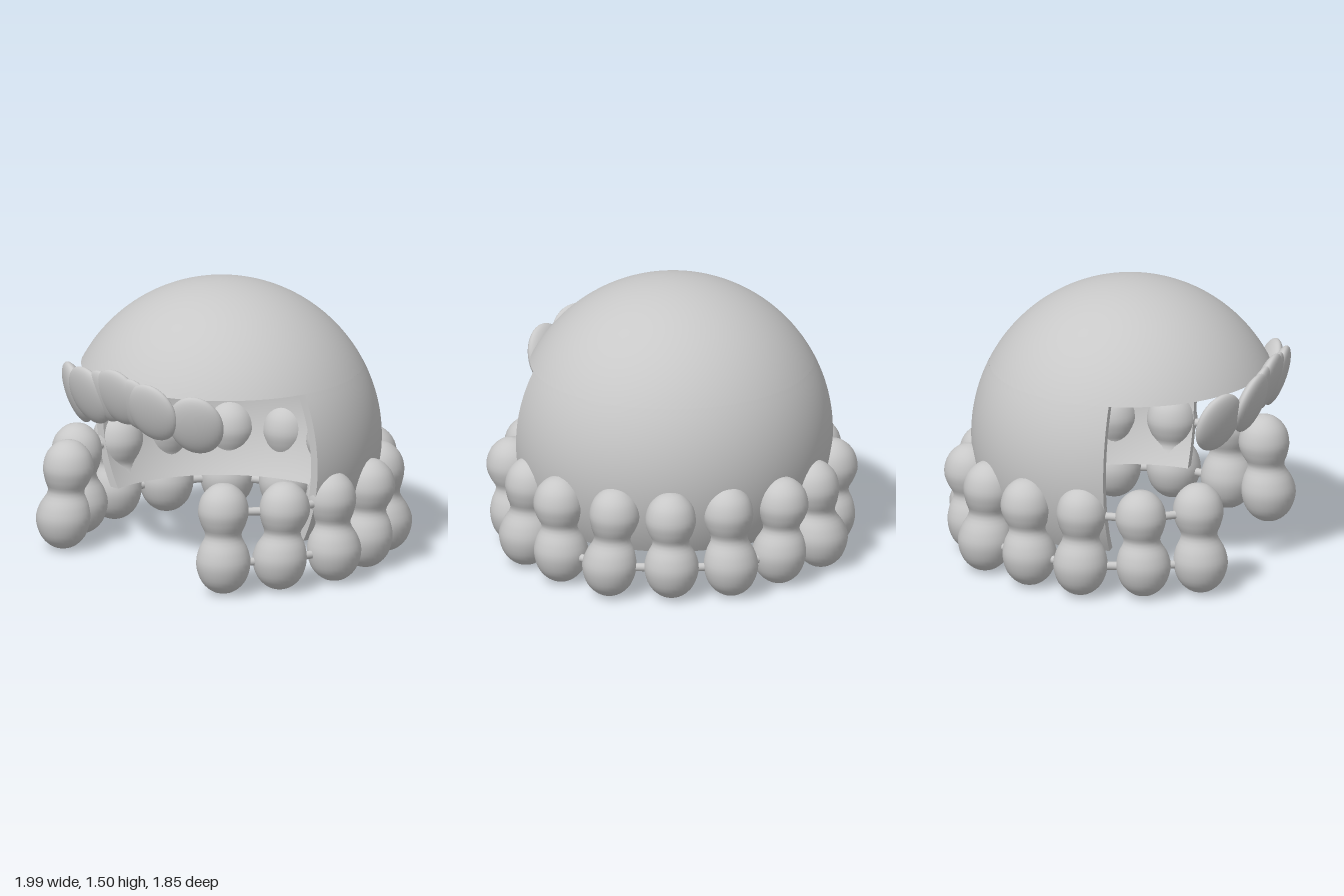
import * as THREE from 'three';
import { mergeVertices } from 'three/addons/utils/BufferGeometryUtils.js';

const grey = new THREE.MeshStandardMaterial({ color: 0xc8c8c8, side: THREE.DoubleSide });
grey.name = 'light grey';

// Dome ellipsoid, and the levels where it is cut
const CY = 0.65, CZ = 0.085, THICK = 0.05;
const BROW = 1.05, HEM = 0.23, CUT_Z = 0.2;

function add(parent, name, geometry) {
  const mesh = new THREE.Mesh(geometry, grey);
  mesh.name = name;
  parent.add(mesh);
  return mesh;
}

// Smooth surface patch from a rule f(u, v) -> [x, y, z]
function patch(f, nu, nv) {
  const pos = [], index = [];
  for (let j = 0; j <= nv; j++) {
    for (let i = 0; i <= nu; i++) pos.push(...f(i / nu, j / nv));
  }
  for (let j = 0; j < nv; j++) {
    for (let i = 0; i < nu; i++) {
      const a = j * (nu + 1) + i, b = a + 1, c = a + nu + 1, d = c + 1;
      index.push(a, b, d, a, d, c);
    }
  }
  let g = new THREE.BufferGeometry();
  g.setAttribute('position', new THREE.Float32BufferAttribute(pos, 3));
  g.setIndex(index);
  g = mergeVertices(g, 1e-5);
  g.computeVertexNormals();
  return g;
}

// Half width of the dome at height y, as a fraction (inset 0 = outside)
const girth = (inset, y) => Math.sqrt(Math.max(0, 1 - ((y - CY) / (0.86 - inset)) ** 2));

// Point on the dome; angle 0 is the middle of the back
function domePoint(inset, angle, y) {
  const t = girth(inset, y);
  return [(0.865 - inset) * t * Math.sin(angle), y, CZ - (0.85 - inset) * t * Math.cos(angle)];
}

// Angle where the lower wall meets the face opening
const openAngle = (inset, y) => Math.acos(-(CUT_Z - CZ) / ((0.85 - inset) * girth(inset, y)));
const wallPoint = (inset, u, y) => domePoint(inset, (u * 2 - 1) * openAngle(inset, y), y);
const mix = THREE.MathUtils.lerp;

function buildDome() {
  const dome = new THREE.Group();
  dome.name = 'domeShell';
  const ring = (u) => (u * 2 - 1) * Math.PI;
  // height of the cap at v, spaced evenly along the curve
  const capY = (inset, v) => {
    const r = 0.86 - inset;
    return CY + r * Math.cos(v * Math.acos((BROW - CY) / r));
  };
  add(dome, 'crownOutside', patch((u, v) => domePoint(0, ring(u), capY(0, v)), 96, 32));
  add(dome, 'crownInside', patch((u, v) => domePoint(THICK, ring(u), capY(THICK, 1 - v)), 96, 32));
  add(dome, 'crownRim', patch((u, v) => domePoint(THICK * (1 - v), ring(u), BROW), 96, 1));
  add(dome, 'wallOutside', patch((u, v) => wallPoint(0, u, mix(BROW, HEM, v)), 80, 28));
  add(dome, 'wallInside', patch((u, v) => wallPoint(THICK, u, mix(HEM, BROW, v)), 80, 28));
  add(dome, 'wallHem', patch((u, v) => wallPoint(THICK * (1 - v), u, HEM), 80, 1));
  for (const side of [0, 1]) {
    add(dome, 'openingEdge', patch((u, v) =>
      wallPoint(THICK * (side ? 1 - u : u), side, mix(HEM, BROW, v)), 1, 28));
  }
  return dome;
}

// Two stacked balls with a soft waist; the upper ball leans to its own centre
function curlGeometry(low, high) {
  const profile = new THREE.SplineCurve([
    [0, 0.005], [0.065, 0.025], [0.12, 0.08], [0.147, 0.17], [0.132, 0.25], [0.098, 0.325],
    [0.122, 0.39], [0.137, 0.46], [0.115, 0.54], [0.06, 0.595], [0, 0.61],
  ].map(([x, y]) => new THREE.Vector2(x, y))).getPoints(36);
  profile.forEach((p) => { p.x = Math.max(0, p.x); });
  const g = new THREE.LatheGeometry(profile, 28);
  const p = g.attributes.position;
  for (let i = 0; i < p.count; i++) {
    const s = THREE.MathUtils.smoothstep(p.getY(i), 0.17, 0.46);
    p.setX(i, p.getX(i) + mix(low[0], high[0], s));
    p.setZ(i, p.getZ(i) + mix(low[1], high[1], s));
  }
  return g;
}

// Thin hourglass link between two points
function addLink(parent, a, b, y) {
  const from = new THREE.Vector3(a[0], y, a[1]), to = new THREE.Vector3(b[0], y, b[1]);
  const half = from.distanceTo(to) / 2;
  const profile = [];
  for (let i = -6; i <= 6; i++) {
    const t = i / 6;
    profile.push(new THREE.Vector2(0.022 + 0.08 * t ** 4, t * half * 0.7));
  }
  const link = add(parent, 'curlLink', new THREE.LatheGeometry(profile, 14));
  link.position.copy(from).add(to).multiplyScalar(0.5);
  link.quaternion.setFromUnitVectors(new THREE.Vector3(0, 1, 0), to.sub(from).normalize());
}

function buildCurls() {
  const curls = new THREE.Group();
  curls.name = 'curls';
  // [x, z] of the lower and upper balls, from the back round to the front
  const spots = [
    [[0, -0.775], [0, -0.73]],
    [[0.31, -0.69], [0.325, -0.715]],
    [[0.61, -0.54], [0.575, -0.53]],
    [[0.77, -0.24], [0.79, -0.255]],
    [[0.85, 0.07], [0.825, 0.07]],
    [[0.77, 0.4], [0.805, 0.395]],
    [[0.62, 0.675], [0.6, 0.655]],
  ];
  for (const m of [1, -1]) {
    const flip = ([x, z]) => [x * m, z];
    spots.forEach(([low, high], i) => {
      if (i > 0 || m > 0) add(curls, 'curl', curlGeometry(flip(low), flip(high)));
      if (i > 0) addLink(curls, flip(spots[i - 1][0]), flip(low), 0.17);
      if (i > 4) addLink(curls, flip(spots[i - 1][1]), flip(high), 0.45);
    });
  }
  return curls;
}

function buildFringe() {
  const fringe = new THREE.Group();
  fringe.name = 'fringe';
  // x, y, z, half width, half height, half depth, yaw
  const lobes = [
    [0, 1.01, 0.855, 0.17, 0.165, 0.05, 0],
    [0.12, 0.99, 0.845, 0.13, 0.155, 0.045, 0.05],
    [0.24, 0.97, 0.84, 0.165, 0.17, 0.05, 0.12],
    [0.46, 0.92, 0.725, 0.155, 0.175, 0.055, 0.5],
  ];
  for (const [x, y, z, w, h, d, yaw] of lobes) {
    for (const m of x ? [1, -1] : [1]) {
      const lobe = add(fringe, 'fringeCurl', new THREE.SphereGeometry(1, 32, 20));
      lobe.scale.set(w, h, d);
      lobe.position.set(x * m, y, z);
      lobe.rotation.set(0.3, yaw * m, 0, 'YXZ');
    }
  }
  return fringe;
}

export function createModel() {
  const model = new THREE.Group();
  model.name = 'curlyHair';
  model.add(buildDome(), buildCurls(), buildFringe());
  return model;
}
